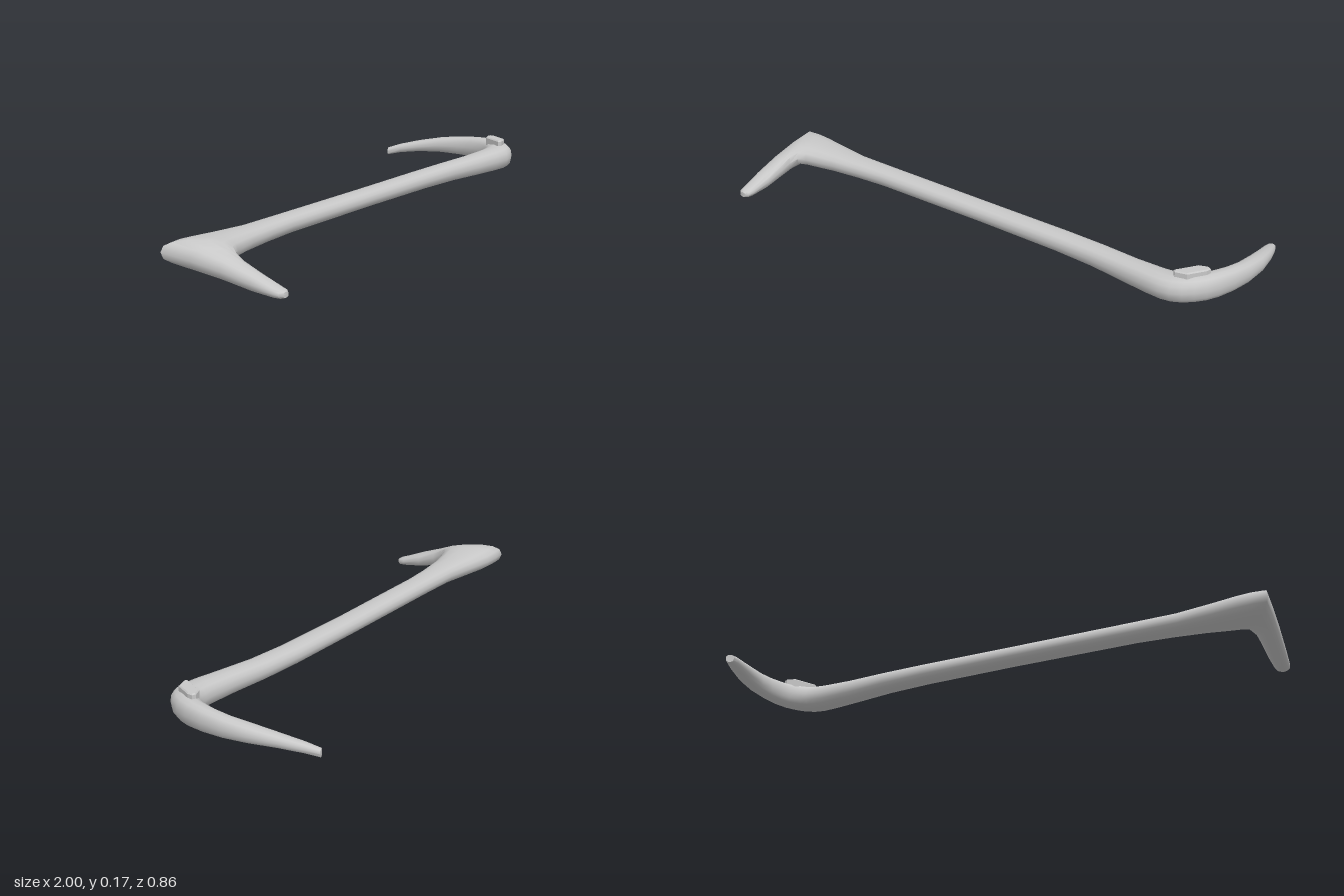
import * as THREE from 'three';
import { toCreasedNormals } from 'three/addons/utils/BufferGeometryUtils.js';

const SIDES = 14;

// Loft through sections [backX, backZ, frontX, frontZ, lowY, highY], closed at both ends
function loft(sections) {
  const pos = [], idx = [];
  const round = (v) => Math.sign(v) * Math.abs(v) ** 0.8 / 2;
  for (const [ax, az, bx, bz, lo, hi] of sections) {
    for (let i = 0; i < SIDES; i++) {
      const t = (i / SIDES) * Math.PI * 2, u = round(Math.cos(t)), v = round(Math.sin(t));
      pos.push((ax + bx) / 2 + (bx - ax) * u, (lo + hi) / 2 + (hi - lo) * v, (az + bz) / 2 + (bz - az) * u);
    }
  }
  const last = sections.length - 1;
  for (let i = 1; i < SIDES - 1; i++) idx.push(0, i, i + 1);
  for (let s = 0; s < last; s++) {
    for (let i = 0; i < SIDES; i++) {
      const a = s * SIDES + i, d = s * SIDES + (i + 1) % SIDES;
      idx.push(a, a + SIDES, d + SIDES, a, d + SIDES, d);
    }
  }
  for (let i = 1; i < SIDES - 1; i++) idx.push(last * SIDES, last * SIDES + i + 1, last * SIDES + i);
  const g = new THREE.BufferGeometry();
  g.setAttribute('position', new THREE.Float32BufferAttribute(pos, 3));
  g.setIndex(idx);
  return toCreasedNormals(g, 0.85);
}

// Cut a run of vertices out of a loft, keeping normals continuous across the joints
function cut(geometry, from, to) {
  const g = new THREE.BufferGeometry();
  for (const key of ['position', 'normal']) {
    g.setAttribute(key, new THREE.BufferAttribute(geometry.attributes[key].array.slice(from * 3, to * 3), 3));
  }
  return g;
}

export function createModel() {
  const model = new THREE.Group();
  const steel = new THREE.MeshStandardMaterial({ color: 0xc8c8c8 });
  steel.name = 'light grey steel';
  const add = (name, geometry) => {
    const mesh = new THREE.Mesh(geometry, steel);
    mesh.name = name;
    model.add(mesh);
  };

  // Tapered foot that drops forward from the corner of the bar
  const foot = [
    [-0.93, 0.427, -0.903, 0.427, 0.003, 0.022],
    [-0.942, 0.416, -0.892, 0.416, 0.0, 0.028],
    [-0.947, 0.395, -0.889, 0.395, 0.0, 0.035],
    [-0.958, 0.32, -0.888, 0.32, 0.008, 0.065],
    [-0.972, 0.21, -0.887, 0.25, 0.028, 0.098],
    [-0.985, 0.1, -0.882, 0.215, 0.042, 0.122],
    [-0.997, -0.008, -0.865, 0.19, 0.054, 0.138],
  ];

  // Shaft, flared at the foot and thickening toward the bend
  const shaft = [
    [-0.95, -0.011, -0.835, 0.175, 0.054, 0.138],
    [-0.89, -0.008, -0.79, 0.163, 0.054, 0.135],
    [-0.8, 0.006, -0.72, 0.147, 0.057, 0.131],
    [-0.66, 0.026, -0.6, 0.133, 0.062, 0.127],
    [-0.48, 0.028, -0.48, 0.124, 0.064, 0.126],
    [0, 0.028, 0, 0.122, 0.065, 0.125],
    [0.35, 0.032, 0.35, 0.126, 0.064, 0.128],
    [0.52, 0.042, 0.52, 0.136, 0.063, 0.132],
    [0.68, 0.06, 0.66, 0.155, 0.061, 0.138],
    [0.8, 0.066, 0.77, 0.171, 0.06, 0.144],
  ];

  // Curved claw sweeping backward to a thin flat tip
  const claw = [
    [0.835, 0.062, 0.835, 0.177, 0.06, 0.146],
    [0.86, 0.056, 0.875, 0.17, 0.06, 0.148],
    [0.878, 0.046, 0.912, 0.151, 0.061, 0.15],
    [0.893, 0.034, 0.942, 0.12, 0.062, 0.151],
    [0.907, 0.018, 0.965, 0.083, 0.062, 0.151],
    [0.92, -0.008, 0.983, 0.035, 0.063, 0.151],
    [0.933, -0.06, 0.996, -0.035, 0.065, 0.147],
    [0.936, -0.12, 1.0, -0.12, 0.067, 0.14],
    [0.926, -0.2, 0.99, -0.21, 0.069, 0.129],
    [0.907, -0.285, 0.957, -0.31, 0.066, 0.11],
    [0.885, -0.365, 0.922, -0.385, 0.056, 0.09],
    [0.87, -0.416, 0.897, -0.428, 0.045, 0.073],
  ];

  // One continuous bar, divided into its three parts
  const bar = loft([...foot, ...shaft, ...claw]);
  const cap = (SIDES - 2) * 3, ring = SIDES * 6;
  const footEnd = cap + (foot.length - 1) * ring;
  const shaftEnd = footEnd + shaft.length * ring;
  add('foot', cut(bar, 0, footEnd));
  add('shaft', cut(bar, footEnd, shaftEnd));
  add('claw', cut(bar, shaftEnd, bar.attributes.position.count));

  // Small lozenge stud with softened edges on top of the bend
  const outline = [[0.856, 0.12], [0.898, 0.04], [0.93, 0.028], [0.943, 0.035], [0.941, 0.055], [0.908, 0.118], [0.866, 0.13]];
  const shape = new THREE.Shape(outline.map(([x, z]) => new THREE.Vector2(x, -z)));
  const stud = new THREE.ExtrudeGeometry(shape, {
    depth: 0.03, bevelThickness: 0.004, bevelSize: 0.004, bevelOffset: -0.004, bevelSegments: 1,
  });
  stud.rotateX(-Math.PI / 2);
  stud.translate(0, 0.134, 0);
  add('stud', stud);

  return model;
}
